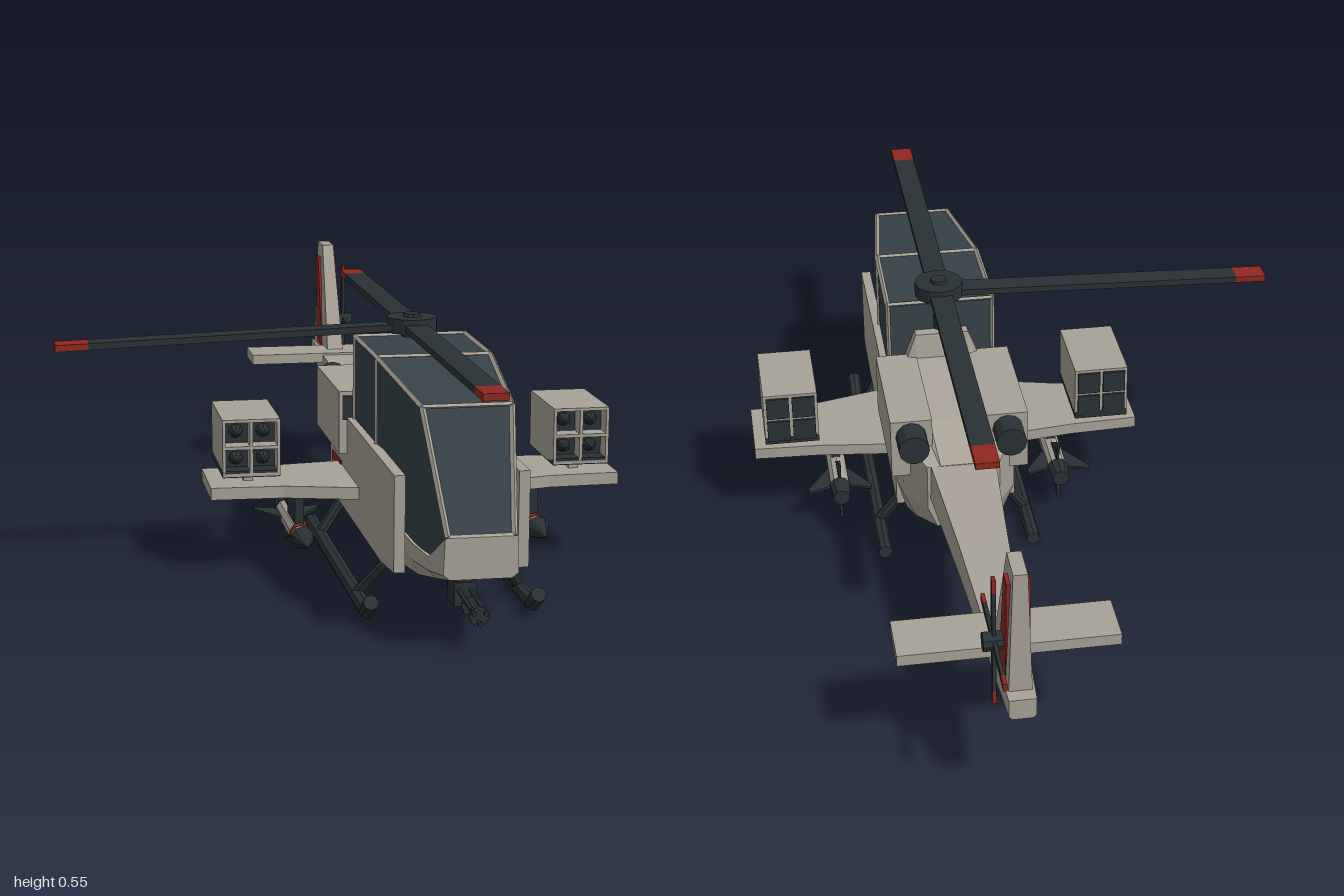
import * as THREE from 'three';

const paint = (color) => new THREE.MeshStandardMaterial({ color, flatShading: true, side: THREE.DoubleSide });
const V = (x, y, z) => new THREE.Vector3(x, y, z);

export function createModel() {
  const root = new THREE.Group();
  const body = paint(0xa8a297), dark = paint(0x2a3135), glass = paint(0x364249), red = paint(0x8f2820);

  const heli = new THREE.Group();
  heli.name = 'helicopter';
  heli.position.x = 0.157;
  root.add(heli);

  // --- helpers ---
  const add = (name, geo, mat, parent = heli) => {
    const m = new THREE.Mesh(geo, mat);
    m.name = name;
    parent.add(m);
    return m;
  };
  // box given by its min/max ranges
  const box = (name, mat, [x0, x1], [y0, y1], [z0, z1], parent) =>
    add(name, new THREE.BoxGeometry(x1 - x0, y1 - y0, z1 - z0)
      .translate((x0 + x1) / 2, (y0 + y1) / 2, (z0 + z1) / 2), mat, parent);
  // tapered rod from a to b
  const rod = (name, mat, a, b, ra, rb = ra, sides = 8, parent = heli) => {
    const d = b.clone().sub(a);
    const m = add(name, new THREE.CylinderGeometry(rb, ra, d.length(), sides), mat, parent);
    m.position.copy(a).addScaledVector(d, 0.5);
    m.quaternion.setFromUnitVectors(V(0, 1, 0), d.normalize());
    return m;
  };
  // solid through mirrored sections [z, [halfWidth, y] from bottom to top...], front to back
  const loft = (name, mat, sections) => {
    const rings = sections.map(([z, ...h]) => [
      ...h.map(([x, y]) => [x, y, z]), ...h.slice().reverse().map(([x, y]) => [-x, y, z])]);
    const n = rings[0].length, last = (rings.length - 1) * n, idx = [];
    for (let i = 0; i < rings.length - 1; i++) for (let j = 0; j < n; j++) {
      const a = i * n + j, b = i * n + (j + 1) % n;
      idx.push(a, a + n, b, b, a + n, b + n);
    }
    for (let j = 1; j < n - 1; j++) idx.push(0, j, j + 1, last, last + j + 1, last + j);
    const g = new THREE.BufferGeometry();
    g.setAttribute('position', new THREE.Float32BufferAttribute(rings.flat(2), 3));
    g.setIndex(idx);
    g.computeVertexNormals();
    return add(name, g, mat);
  };
  const outline = (pts) => new THREE.Shape(pts.map(([x, y]) => new THREE.Vector2(x, y)));
  const slab = (pts, depth) => new THREE.ExtrudeGeometry(outline(pts), { depth, bevelEnabled: false });
  // slab drawn in (z, y), centred on x
  const sideSlab = (pts, t) => slab(pts.map(([z, y]) => [-z, y]), t).translate(0, 0, -t / 2).rotateY(Math.PI / 2);
  // slab drawn in (x, z), hanging down from the top height
  const planSlab = (pts, t, top) => slab(pts, t).rotateX(Math.PI / 2).translate(0, top, 0);

  // --- fuselage ---
  loft('nose', body, [
    [0.905, [0.06, 0.155], [0.073, 0.165], [0.07, 0.237]],
    [0.83, [0.07, 0.138], [0.086, 0.155], [0.086, 0.182]],
    [0.74, [0.085, 0.12], [0.098, 0.15], [0.097, 0.182]],
    [0.5, [0.11, 0.102], [0.12, 0.16], [0.12, 0.2]]]);
  loft('hull', body, [
    [0.6, [0.1, 0.102], [0.112, 0.17], [0.108, 0.3]],
    [0.45, [0.113, 0.1], [0.132, 0.17], [0.132, 0.32]],
    [0.0, [0.113, 0.1], [0.132, 0.17], [0.132, 0.32]],
    [-0.06, [0.1, 0.115], [0.125, 0.175], [0.125, 0.32]],
    [-0.145, [0.06, 0.137], [0.08, 0.185], [0.08, 0.292]]]);
  loft('engineDeck', body, [
    [0.225, [0.11, 0.3], [0.06, 0.43]],
    [0.2, [0.11, 0.3], [0.06, 0.43]],
    [0.19, [0.11, 0.3], [0.06, 0.375]],
    [-0.03, [0.1, 0.3], [0.06, 0.345]],
    [-0.145, [0.075, 0.27], [0.05, 0.293]]]);
  loft('tailBoom', body, [
    [-0.13, [0.05, 0.19], [0.075, 0.21], [0.072, 0.292]],
    [-0.45, [0.038, 0.208], [0.054, 0.222], [0.052, 0.291]],
    [-0.955, [0.02, 0.233], [0.027, 0.24], [0.027, 0.278]]]);

  // --- canopy with thin frames ---
  const canopy = [[0.9, 0.064, 0.19, 0.237], [0.77, 0.088, 0.17, 0.46], [0.466, 0.118, 0.17, 0.5], [0.225, 0.12, 0.17, 0.5]];
  loft('canopyGlass', glass, canopy.map(([z, w, b, t]) => [z, [w, b], [w, t]]));
  for (const s of [-1, 1]) {
    canopy.slice(1).forEach(([z, w, , t], i) => {
      const [z0, w0, , t0] = canopy[i];
      rod('canopyRail', body, V(s * w0, t0, z0), V(s * w, t, z), 0.006, 0.006, 4);
    });
    for (const [z, w, , t] of canopy.slice(2)) rod('canopyPillar', body, V(s * w, 0.3, z), V(s * w, t, z), 0.005, 0.005, 4);
  }
  for (const [z, w, , t] of canopy) rod('canopyCrossbar', body, V(-w, t, z), V(w, t, z), 0.005, 0.005, 4);

  // --- paired parts ---
  for (const s of [-1, 1]) {
    const side = (a, b) => (s > 0 ? [a, b] : [-b, -a]);
    add('cheekPanel', sideSlab([[0.74, 0.125], [0.6, 0.11], [0, 0.11], [0, 0.32], [0.74, 0.32]], 0.022), body)
      .position.x = s * 0.124;
    box('hullStripe', red, side(0.13, 0.138), [0.187, 0.209], [0.037, 0.15]);

    // engine nacelle, intake and exhaust
    box('nacelle', body, side(0.06, 0.152), [0.24, 0.377], [-0.087, 0.21]);
    box('intake', dark, side(0.08, 0.145), [0.315, 0.368], [0.2, 0.213]);
    rod('exhaust', dark, V(s * 0.107, 0.339, -0.06), V(s * 0.107, 0.339, -0.147), 0.034, 0.034, 12);

    // stub wing
    add('wing', planSlab([[0.1, 0.11], [0.13, 0.11], [0.29, 0.13], [0.443, 0.137], [0.443, 0.315], [0.29, 0.32], [0.13, 0.36], [0.1, 0.36]]
      .map(([x, z]) => [s * x, z]), 0.026, 0.201), body);

    // four-cell launcher
    const pod = new THREE.Group();
    pod.name = 'launcherPod';
    pod.position.set(s * 0.357, 0.286, 0.12);
    heli.add(pod);
    const h = 0.061, face = outline([[-h, -h], [h, -h], [h, h], [-h, h]]);
    for (const cx of [-0.029, 0.029]) for (const cy of [-0.029, 0.029]) {
      const r = 0.0255;
      face.holes.push(outline([[cx - r, cy - r], [cx - r, cy + r], [cx + r, cy + r], [cx + r, cy - r]]));
      box('cellFill', dark, [cx - r, cx + r], [cy - r, cy + r], [-0.006, 0.16], pod);
      rod('rocketTip', dark, V(cx, cy, 0.155), V(cx, cy, 0.195), 0.017, 0.003, 8, pod);
    }
    add('podShell', new THREE.ExtrudeGeometry(face, { depth: 0.2, bevelEnabled: false }), body, pod);
    box('podBase', dark, [-h, h], [-h - 0.002, -h + 0.012], [-0.003, 0.2], pod);
    box('podMount', body, [-0.01, 0.01], [-0.09, -0.055], [0.05, 0.14], pod);

    // missile under the wing
    const missile = new THREE.Group();
    missile.name = 'missile';
    missile.position.set(s * 0.255, 0.096, 0);
    heli.add(missile);
    const part = (name, mat, z0, z1, r0, r1 = r0) => rod(name, mat, V(0, 0, z0), V(0, 0, z1), r0, r1, 10, missile);
    part('missileBody', body, 0.11, 0.36, 0.022);
    part('missileBand', red, 0.32, 0.338, 0.0235);
    part('missileNose', dark, 0.355, 0.43, 0.025, 0.002);
    part('missileTail', dark, 0.064, 0.115, 0.019, 0.024);
    for (let k = 0; k < 4; k++) {
      const fin = add('missileFin', sideSlab([[0.2, 0.015], [0.11, 0.072], [0.095, 0.072], [0.115, 0.015]], 0.006), dark, missile);
      fin.rotation.z = k * Math.PI / 2;
    }
    box('missilePylon', dark, [-0.01, 0.01], [0.015, 0.082], [0.21, 0.316], missile);

    // landing skid
    const sx = s * 0.17;
    rod('skid', dark, V(sx, 0.02, -0.06), V(sx, 0.02, 0.645), 0.016);
    rod('skidToe', dark, V(sx, 0.018, 0.64), V(sx, 0.052, 0.69), 0.016);
    rod('frontStrut', dark, V(sx, 0.025, 0.535), V(s * 0.105, 0.12, 0.59), 0.013);
    rod('rearStrut', dark, V(sx, 0.025, 0.07), V(s * 0.105, 0.12, 0.055), 0.013);
  }

  // --- nose gun ---
  box('gunTurret', dark, [-0.022, 0.022], [0.062, 0.11], [0.71, 0.775]);
  rod('gunMount', dark, V(0, 0.09, 0.745), V(0, 0.14, 0.745), 0.028, 0.028, 10);
  for (const [x, y] of [[-0.012, 0.01], [0.012, 0.01], [0, -0.01]])
    rod('gunBarrel', dark, V(x, 0.085 + y, 0.76), V(x, 0.076 + y, 0.905), 0.005, 0.005, 6);
  for (const z of [0.82, 0.885]) rod('barrelClamp', dark, V(0, 0.079, z), V(0, 0.079, z + 0.01), 0.02, 0.02, 8);
  box('sensorBox', body, [-0.056, -0.024], [0.06, 0.11], [0.15, 0.28]);

  // --- tail ---
  box('tailplane', body, [-0.221, 0.221], [0.266, 0.29], [-0.8, -0.685]);
  loft('tailFin', body, [
    [-0.735, [0.02, 0.27], [0.02, 0.286]],
    [-0.85, [0.024, 0.25], [0.014, 0.545]],
    [-0.927, [0.024, 0.25], [0.014, 0.545]]]);
  add('rudderPanel', sideSlab([[-0.81, 0.285], [-0.868, 0.51], [-0.905, 0.51], [-0.89, 0.285]], 0.046), red);

  const tailRotor = new THREE.Group();
  tailRotor.name = 'tailRotor';
  tailRotor.position.set(0.04, 0.345, -0.853);
  heli.add(tailRotor);
  rod('tailRotorHub', dark, V(-0.03, 0, 0), V(0.022, 0, 0), 0.02, 0.02, 10, tailRotor);
  for (let k = 0; k < 4; k++) {
    const blade = new THREE.Group();
    blade.name = 'tailBlade';
    blade.rotation.x = k * Math.PI / 2;
    tailRotor.add(blade);
    box('tailBladeArm', dark, [-0.004, 0.004], [0, 0.115], [-0.008, 0.008], blade);
    box('tailBladeTip', red, [-0.004, 0.004], [0.115, 0.145], [-0.008, 0.008], blade);
  }

  // --- main rotor ---
  const rotor = new THREE.Group();
  rotor.name = 'mainRotor';
  rotor.position.set(0, 0.524, 0.24);
  heli.add(rotor);
  rod('mast', dark, V(0, -0.15, 0), V(0, 0, 0), 0.022, 0.022, 12, rotor);
  rod('rotorHub', dark, V(0, -0.013, 0), V(0, 0.019, 0), 0.055, 0.055, 12, rotor);
  rod('hubCap', dark, V(0, 0.019, 0), V(0, 0.026, 0), 0.02, 0.018, 10, rotor);
  for (const [turn, droop] of [[0, 0], [Math.PI, 0], [-Math.PI / 2, 0.033]]) {
    const blade = new THREE.Group();
    blade.name = 'rotorBlade';
    blade.rotation.set(droop, turn, 0, 'YXZ');
    rotor.add(blade);
    box('bladeArm', dark, [-0.025, 0.025], [-0.007, 0.007], [0, 0.69], blade);
    box('bladeTip', red, [-0.025, 0.025], [-0.007, 0.007], [0.69, 0.759], blade);
  }
  return root;
}
